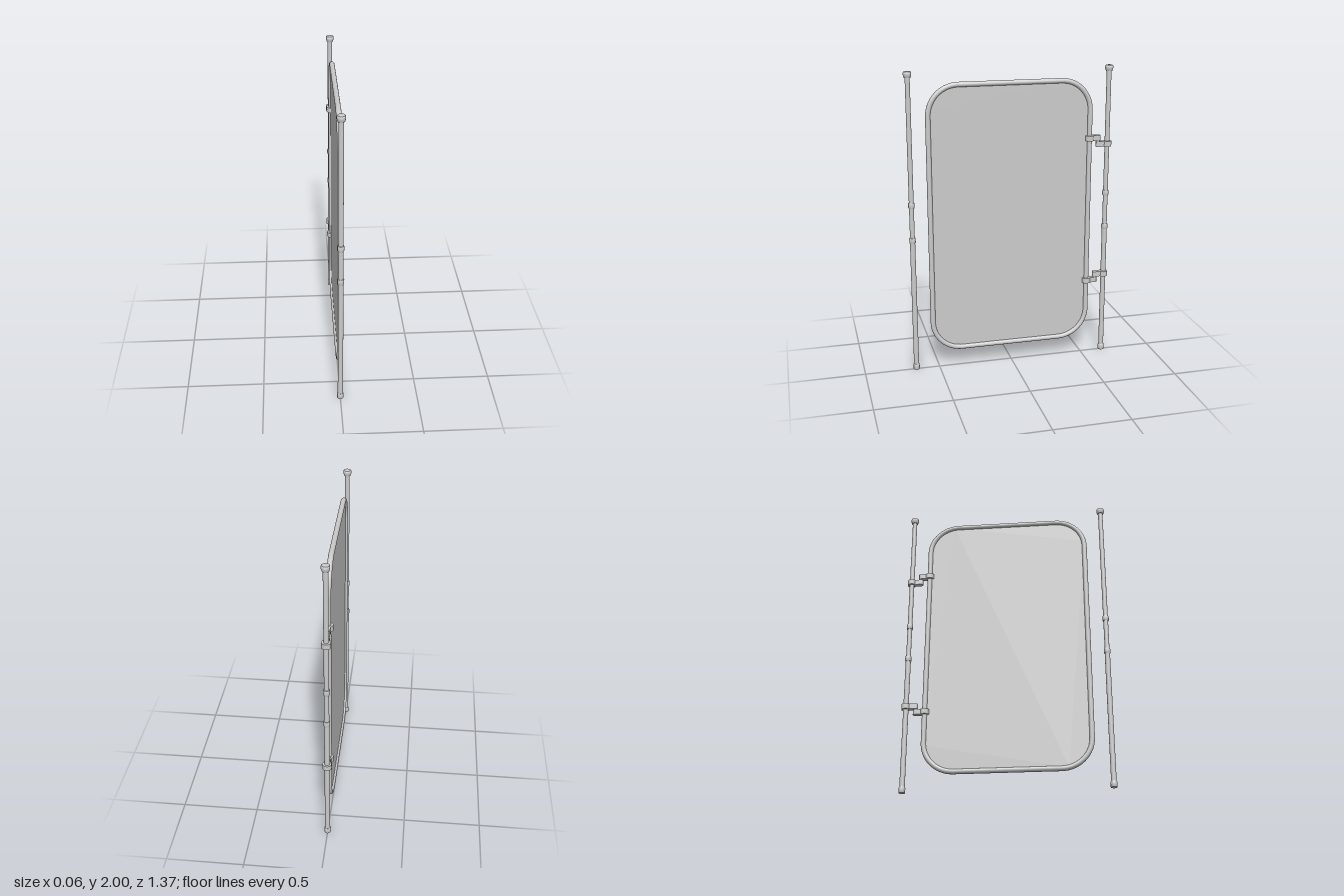
import * as THREE from 'three';
import { toCreasedNormals } from 'three/addons/utils/BufferGeometryUtils.js';

const material = new THREE.MeshStandardMaterial({ color: 0xcccccc });

function add(parent, name, geometry, y = 0, z = 0) {
  const mesh = new THREE.Mesh(geometry, material);
  mesh.name = name;
  mesh.position.set(0, y, z);
  parent.add(mesh);
  return mesh;
}

// Rounded rectangle outline, drawn in x/y and centred on the origin
function roundedRect(width, height, r) {
  const w = width / 2, h = height / 2;
  const s = new THREE.Shape();
  s.moveTo(-w + r, -h);
  s.lineTo(w - r, -h);
  s.absarc(w - r, -h + r, r, -Math.PI / 2, 0);
  s.lineTo(w, h - r);
  s.absarc(w - r, h - r, r, 0, Math.PI / 2);
  s.lineTo(-w + r, h);
  s.absarc(-w + r, h - r, r, Math.PI / 2, Math.PI);
  s.lineTo(-w, -h + r);
  s.absarc(-w + r, -h + r, r, Math.PI, Math.PI * 1.5);
  return s;
}

class OutlineCurve extends THREE.Curve {
  constructor(shape) {
    super();
    this.shape = shape;
  }
  getPoint(t, target = new THREE.Vector3()) {
    const p = this.shape.getPointAt(t);
    return target.set(p.x, p.y, 0);
  }
}

// Solid of revolution with crisp edges from [radius, height] pairs
function turned(profile) {
  const points = profile.map(([r, y]) => new THREE.Vector2(r, y));
  return toCreasedNormals(new THREE.LatheGeometry(points, 24), 0.6);
}

// Clamp: round collar with an arm ending in a rounded pivot
function clampGeometry(length) {
  const R = 0.029, w = 0.016, h = 0.035;
  const a = Math.acos(w / R);
  const s = new THREE.Shape();
  s.absarc(0, 0, R, a, Math.PI - a, true);
  s.absarc(0, length, w, Math.PI, 0, true);
  s.closePath();
  const g = new THREE.ExtrudeGeometry(s, { depth: h, bevelEnabled: false, curveSegments: 20 });
  g.translate(0, 0, -h / 2).rotateX(-Math.PI / 2);
  return toCreasedNormals(g, 0.6);
}

function createPost(name, z) {
  const post = new THREE.Group();
  post.name = name;
  post.position.z = z;

  // Tubes: slightly wider lower sleeve, slimmer upper pole
  const lower = new THREE.CylinderGeometry(0.017, 0.017, 0.89, 24);
  const upper = new THREE.CylinderGeometry(0.0155, 0.0155, 1.07, 24);
  add(post, 'lowerTube', lower, 0.465);
  add(post, 'upperTube', upper, 1.435);

  // Collars
  const collar = turned([[0.014, -0.018], [0.019, -0.018], [0.021, -0.012],
    [0.021, 0.012], [0.019, 0.018], [0.014, 0.018]]);
  for (const y of [0.91, 1.145]) add(post, 'collar', collar, y);

  // Foot and domed head
  add(post, 'foot', turned([[0, 0], [0.019, 0], [0.021, 0.004],
    [0.021, 0.034], [0.018, 0.04], [0.014, 0.04]]));
  add(post, 'topCap', turned([[0.014, 0], [0.021, 0], [0.023, 0.008], [0.026, 0.016],
    [0.026, 0.032], [0.023, 0.037], [0.013, 0.0395], [0, 0.04]]), 1.96);
  return post;
}

export function createModel() {
  const model = new THREE.Group();
  model.name = 'gate';

  const frontZ = 0.657, backZ = -0.654;
  model.add(createPost('frontPost', frontZ), createPost('hingePost', backZ));

  // Gate leaf: tubular frame around a thin sheet
  const leaf = new THREE.Group();
  leaf.name = 'gateLeaf';
  leaf.position.set(0, 1.018, 0.003);
  leaf.rotation.y = -Math.PI / 2;
  model.add(leaf);
  const outline = roundedRect(1.068, 1.778, 0.195);
  add(leaf, 'frame', new THREE.TubeGeometry(new OutlineCurve(outline), 240, 0.0165, 16, true));
  const sheet = new THREE.ExtrudeGeometry(outline, { depth: 0.004, bevelEnabled: false, curveSegments: 16 });
  add(leaf, 'panel', sheet.translate(0, 0, -0.002));

  // Hinges: a clamp on the frame stacked against a clamp on the post
  const frameZ = -0.531, pivotZ = -0.591;
  const frameClamp = clampGeometry(frameZ - pivotZ);
  const postClamp = clampGeometry(pivotZ - backZ).rotateY(Math.PI);
  const pin = new THREE.CylinderGeometry(0.009, 0.009, 0.05, 16);
  for (const [name, frameY, postY] of [['upperHinge', 1.523, 1.481], ['lowerHinge', 0.531, 0.57]]) {
    const hinge = new THREE.Group();
    hinge.name = name;
    add(hinge, 'frameClamp', frameClamp, frameY, frameZ);
    add(hinge, 'postClamp', postClamp, postY, backZ);
    add(hinge, 'pin', pin, (frameY + postY) / 2, pivotZ);
    model.add(hinge);
  }
  return model;
}
